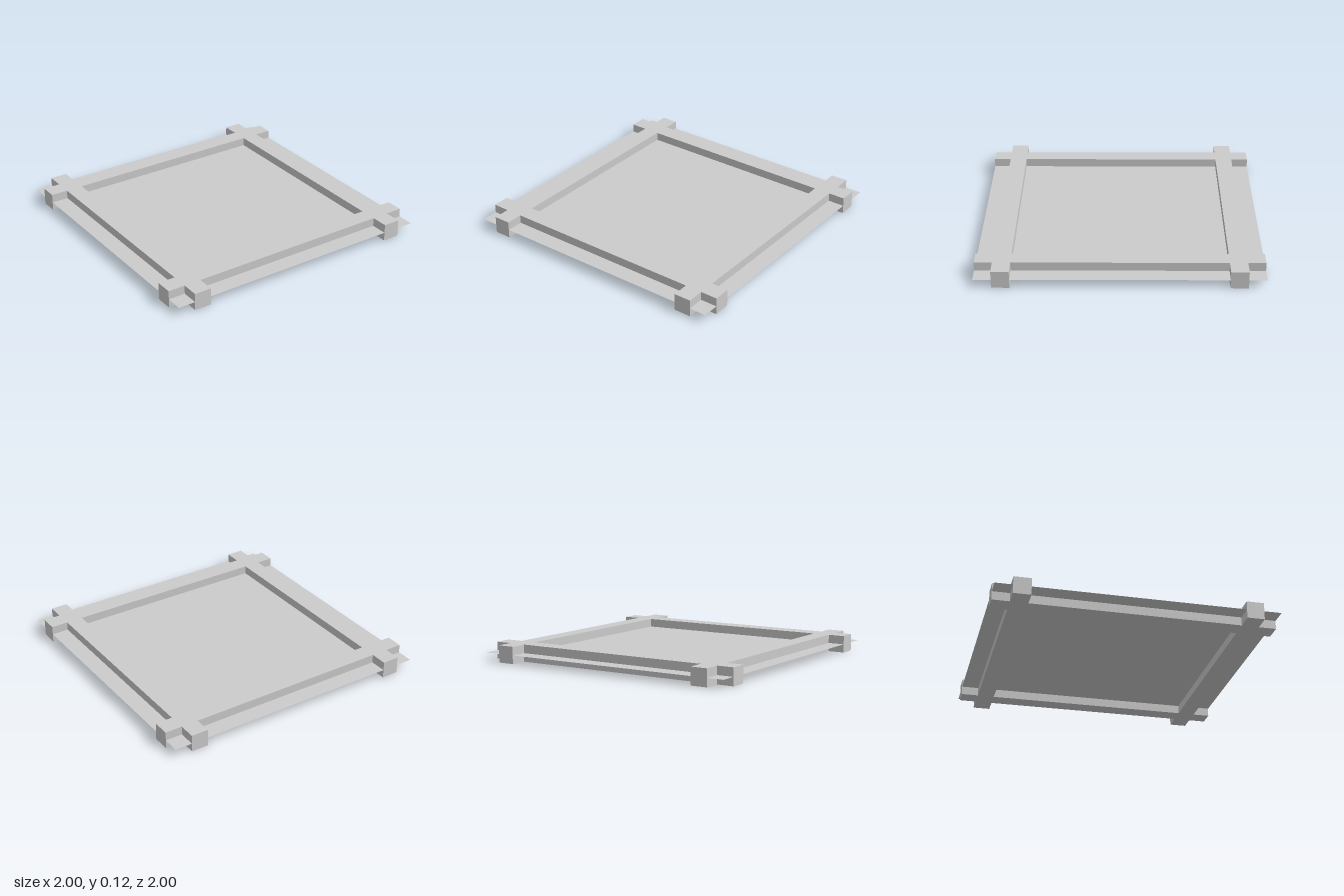
import * as THREE from 'three';

const HALF = 1;       // half length of the beams and panel
const OUTER = 0.875;  // outer side of the beams
const INNER = 0.75;   // inner side of the beams
const HEIGHT = 0.125;

export function createModel() {
  const group = new THREE.Group();
  const material = new THREE.MeshStandardMaterial({ color: 0xcccccc, flatShading: true });

  // Four crossing beams as one outline: one corner's points, turned four times
  const corner = [[HALF, INNER], [HALF, OUTER], [OUTER, OUTER], [OUTER, HALF], [INNER, HALF], [INNER, OUTER], [-INNER, OUTER]];
  const outline = [];
  for (let i = 0; i < 4; i++) {
    for (const [x, y] of corner) {
      const p = new THREE.Vector2(x, y);
      for (let k = 0; k < i; k++) p.set(-p.y, p.x);
      outline.push(p);
    }
  }
  const shape = new THREE.Shape(outline);
  const opening = [[-1, -1], [-1, 1], [1, 1], [1, -1]];
  shape.holes.push(new THREE.Path(opening.map(([x, y]) => new THREE.Vector2(x * INNER, y * INNER))));
  const frameGeometry = new THREE.ExtrudeGeometry(shape, { depth: HEIGHT, bevelEnabled: false });
  frameGeometry.rotateX(-Math.PI / 2);
  const frame = new THREE.Mesh(frameGeometry, material);
  frame.name = 'crossedBeamFrame';
  group.add(frame);

  // Thin panel through the middle of the beams
  const panelMaterial = material.clone();
  panelMaterial.side = THREE.DoubleSide;
  const panel = new THREE.Mesh(new THREE.PlaneGeometry(2 * HALF, 2 * HALF), panelMaterial);
  panel.name = 'panel';
  panel.rotation.x = -Math.PI / 2;
  panel.position.y = HEIGHT / 2;
  group.add(panel);

  return group;
}
